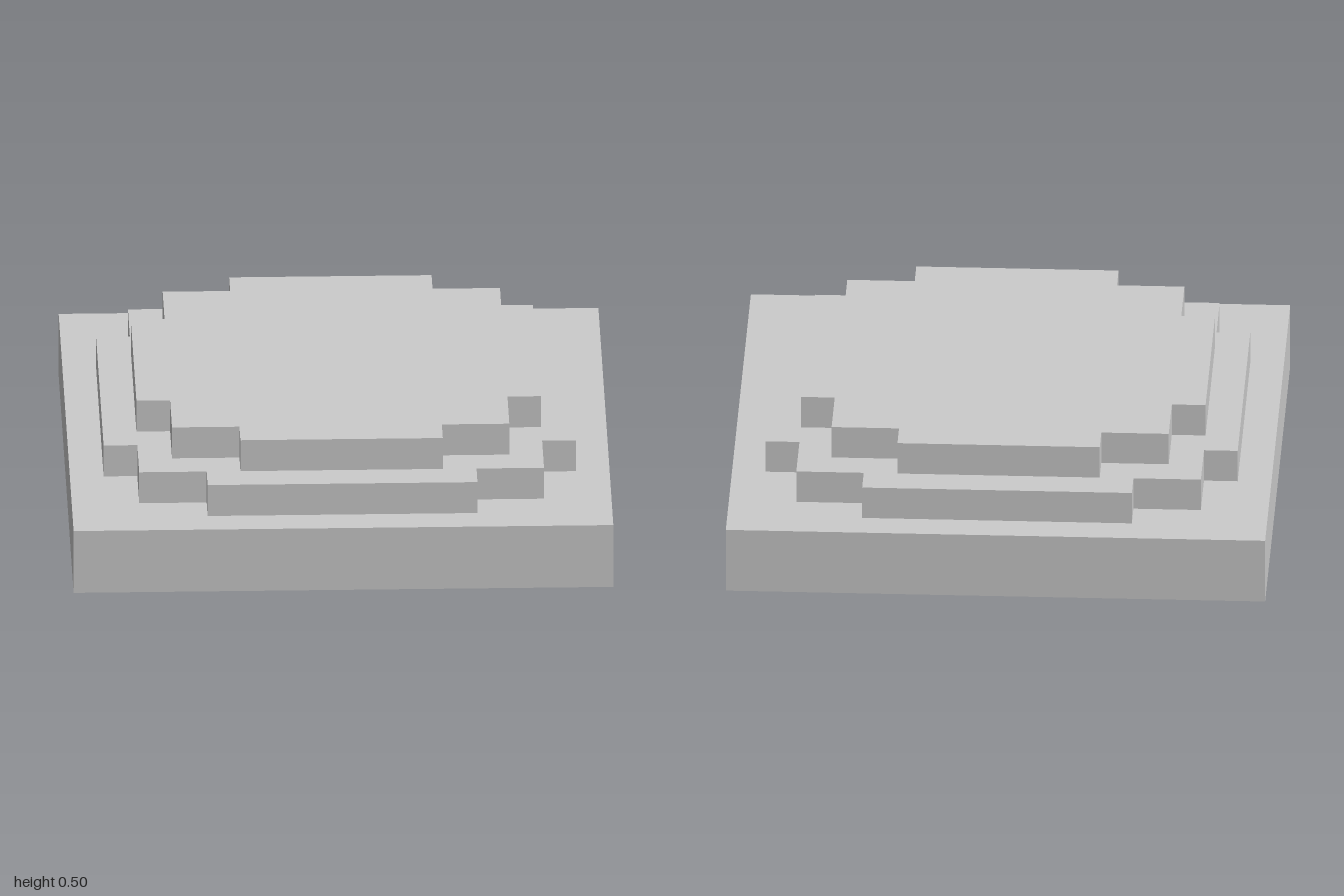
import * as THREE from 'three';

const material = new THREE.MeshStandardMaterial({ color: 0xcccccc, flatShading: true });

// Slab whose four corners are notched in steps: reach > shoulder > half width of the straight edge
function steppedTier(name, reach, shoulder, edge, bottom, height) {
  const corner = [[reach, edge], [shoulder, edge], [shoulder, shoulder], [edge, shoulder], [edge, reach]];
  const outline = [];
  for (let turn = 0; turn < 4; turn++) {
    for (const [x, y] of corner) {
      outline.push(new THREE.Vector2(x, y).rotateAround(new THREE.Vector2(), turn * Math.PI / 2));
    }
  }
  const geometry = new THREE.ExtrudeGeometry(new THREE.Shape(outline), { depth: height, bevelEnabled: false });
  geometry.rotateX(-Math.PI / 2);
  const mesh = new THREE.Mesh(geometry, material);
  mesh.name = name;
  mesh.position.y = bottom;
  return mesh;
}

export function createModel() {
  const model = new THREE.Group();
  model.name = 'steppedPlatform';

  // Square base slab
  const base = new THREE.Mesh(new THREE.BoxGeometry(2, 0.25, 2), material);
  base.name = 'base';
  base.position.y = 0.125;

  // Two notched tiers stacked on the base
  model.add(
    base,
    steppedTier('lowerTier', 0.875, 0.75, 0.5, 0.25, 0.125),
    steppedTier('upperTier', 0.75, 0.625, 0.375, 0.375, 0.125),
  );
  return model;
}
